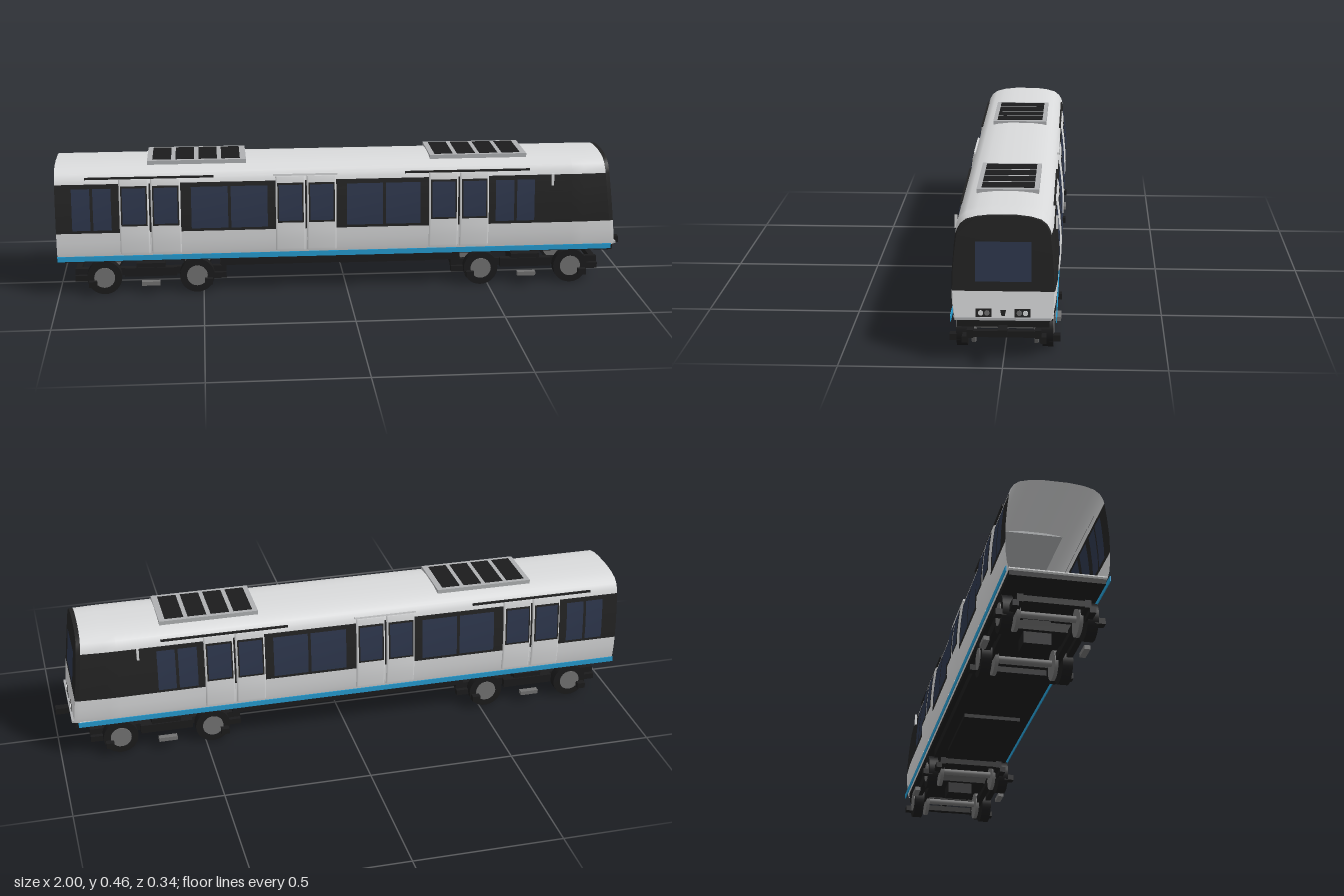
import * as THREE from 'three';

const mat = (name, color, side = THREE.DoubleSide) => {
  const m = new THREE.MeshStandardMaterial({ color, side });
  m.name = name;
  return m;
};

export function createModel() {
  const root = new THREE.Group();
  root.name = 'metroCar';
  const white = mat('body white', 0xd9dadb);
  const black = mat('band black', 0x232323);
  const glass = mat('window glass', 0x2d364c);
  const blue = mat('stripe blue', 0x259bd0);
  const grey = mat('roof unit grey', 0xaeb0b2);
  const steel = mat('steel', 0x727272);
  const dark = mat('underframe dark', 0x1b1b1c);

  const add = (name, geo, material, parent = root, x = 0, y = 0, z = 0) => {
    const m = new THREE.Mesh(geo, material);
    m.name = name;
    m.position.set(x, y, z);
    parent.add(m);
    return m;
  };
  // Box given by its limits
  const box = (name, x0, x1, y0, y1, z0, z1, material, parent = root) =>
    add(name, new THREE.BoxGeometry(x1 - x0, y1 - y0, z1 - z0), material, parent,
      (x0 + x1) / 2, (y0 + y1) / 2, (z0 + z1) / 2);
  const rod = (name, r, len, x, y, z, material, parent = root, sides = 24) =>
    add(name, new THREE.CylinderGeometry(r, r, len, sides).rotateX(Math.PI / 2), material, parent, x, y, z);

  // Half cross-section of the body as [z, y]
  const lower = [[0.153, 0.135], [0.158, 0.155], [0.162, 0.19], [0.163, 0.225]];
  const middle = [[0.163, 0.225], [0.162, 0.28], [0.157, 0.34], [0.15, 0.395]];
  const upper = [[0.15, 0.395], [0.146, 0.41], [0.136, 0.427], [0.118, 0.441], [0.085, 0.45], [0.04, 0.455]];
  const side = [...lower, ...middle.slice(1), ...upper.slice(1)];
  const mirror = (pts) => pts.map(([z, y]) => [-z, y]).reverse();
  const arch = (pts) => [...pts, ...mirror(pts)];
  const noseX = (y) => 0.949 - 0.1 * (y - 0.14);
  const halfWidth = (y) => {
    const i = Math.max(1, side.findIndex((p) => p[1] >= y));
    const [a, b] = [side[i - 1], side[i]];
    return a[0] + (b[0] - a[0]) * (y - a[1]) / (b[1] - a[1]);
  };

  // Skin over stations: x(y), z scale s and outward offset o
  const loft = (name, pts, stations, material, parent = root) => {
    const pos = [], idx = [], n = pts.length;
    for (const { x, s = 1, o = 0 } of stations)
      for (const [z, y] of pts)
        pos.push(typeof x === 'function' ? x(y) : x, y, z * s + Math.sign(z) * o);
    for (let i = 0; i < stations.length - 1; i++)
      for (let j = 0; j < n - 1; j++) {
        const a = i * n + j, b = a + n;
        idx.push(a, b, b + 1, a, b + 1, a + 1);
      }
    const g = new THREE.BufferGeometry();
    g.setAttribute('position', new THREE.Float32BufferAttribute(pos, 3));
    g.setIndex(idx);
    g.computeVertexNormals();
    return add(name, g, material, parent);
  };

  // Body shell, open at the rear, slightly tapered towards the cab
  const body = [{ x: -1 }, { x: 0.79 }, { x: 0.83, s: 0.997 }, { x: (y) => noseX(y) - 0.014, s: 0.965 }];
  const rim = [{ x: (y) => noseX(y) - 0.014, s: 0.965 }, { x: noseX, s: 0.945 }];
  for (const f of [(p) => p, mirror]) {
    loft('lowerSide', f(lower), [...body, rim[1]], white);
    loft('windowBand', f(middle), body, black);
  }
  loft('roof', arch(upper), body, white);
  loft('cabRim', arch([...middle, ...upper.slice(1)]), rim, black);

  // Raked cab front
  const face = (name, pts, off, material) => {
    const g = new THREE.ShapeGeometry(new THREE.Shape(pts.map(([z, y]) => new THREE.Vector2(z, y))), 16);
    g.rotateY(Math.PI / 2);
    const p = g.attributes.position;
    for (let i = 0; i < p.count; i++) p.setX(i, noseX(p.getY(i)) + off);
    g.computeVertexNormals();
    return add(name, g, material);
  };
  const rect = (z0, z1, y0, y1) => [[z0, y0], [z1, y0], [z1, y1], [z0, y1]];
  const narrow = (pts) => pts.map(([z, y]) => [z * 0.945, y]);
  face('cabMask', narrow(arch([...middle, ...upper.slice(1)])), 0, black);
  face('cabApron', narrow(arch(lower)), 0, white);
  face('windscreen', rect(-0.085, 0.085, 0.255, 0.377), 0.003, glass);
  face('noseLatch', [[-0.005, 0.15], [0.005, 0.15], [0.009, 0.168], [-0.009, 0.168]], 0.003, black);
  for (const s of [-1, 1]) {
    const [a, b] = s > 0 ? [0.035, 0.083] : [-0.083, -0.035];
    face('lampPanel', rect(a, b, 0.146, 0.172), 0.003, black);
    for (const [z, m] of [[0.068, white], [0.049, steel]])
      rod('headlamp', 0.008, 0.004, noseX(0.159) + 0.004, 0.159, s * z, m, root, 16).rotation.y = Math.PI / 2;
  }
  box('noseLip', 0.925, 0.956, 0.137, 0.145, -0.146, 0.146, grey);
  box('frontBeam', 0.88, 0.945, 0.113, 0.135, -0.14, 0.14, dark);
  box('couplerShaft', 0.92, 0.97, 0.103, 0.115, -0.008, 0.008, dark);
  box('couplerHead', 0.95, 1.0, 0.099, 0.121, -0.014, 0.014, dark);

  // Curved panels that follow the side of the body, on both sides
  const panel = (name, x0, x1, y0, y1, o, material, bevel = 0) => {
    const ys = [y0, ...side.map((p) => p[1]).filter((y, i, all) => y > y0 + 0.001 && y < y1 - 0.001 && all.indexOf(y) === i), y1];
    const pts = ys.map((y) => [halfWidth(y), y]);
    const st = bevel
      ? [{ x: x0, o: 0 }, { x: x0 + bevel, o }, { x: x1 - bevel, o }, { x: x1, o: 0 }]
      : [{ x: x0, o }, { x: x1, o }];
    for (const f of [(p) => p, mirror]) loft(name, f(pts), st, material);
  };

  // Side windows, glazed inside and out
  const windows = [[-0.944, -0.882], [-0.872, -0.81], [-0.537, -0.411], [-0.401, -0.275],
    [0, 0.125], [0.135, 0.256], [0.52, 0.585], [0.595, 0.657]];
  for (const [a, b] of windows)
    for (const o of [0.0025, -0.0025]) panel('sideWindow', a, b, 0.235, 0.38, o, glass);

  // Double-leaf doors with rails above
  for (const c of [-0.678, -0.142, 0.391]) {
    for (const s of [-1, 1]) {
      const m = c + s * 0.054;
      panel('doorLeaf', m - 0.051, m + 0.051, 0.147, 0.409, 0.006, white, 0.006);
      panel('doorWindowFrame', m - 0.045, m + 0.045, 0.249, 0.388, 0.0075, black);
      for (const o of [0.009, -0.0025]) panel('doorWindow', m - 0.04, m + 0.04, 0.256, 0.381, o, glass);
    }
    const half = c === -0.142 ? 0.11 : 0.219;
    const r = c + (c > 0 ? 0.03 : 0);
    for (const s of [-1, 1]) {
      const z = s * 0.148;
      box('doorRail', r - half, r + half, 0.411, 0.418, z - 0.003, z + 0.003, c === -0.142 ? white : black);
    }
  }

  for (const s of [-1, 1]) {
    box('sideStripe', -1, 0.935, 0.124, 0.142, s * 0.161 - 0.0015, s * 0.161 + 0.0015, blue);
    box('cabHandle', 0.716, 0.724, 0.358, 0.4, s * 0.158 - 0.004, s * 0.158 + 0.004, white);
  }

  // Roof ventilation units
  for (const c of [-0.515, 0.465]) {
    const unit = new THREE.Group();
    unit.name = 'roofUnit';
    root.add(unit);
    box('unitHousing', c - 0.17, c + 0.17, 0.447, 0.461, -0.099, 0.099, grey, unit);
    for (let i = 0; i < 4; i++) {
      const x = c - 0.12 + i * 0.079;
      box('ventGrille', x - 0.032, x + 0.032, 0.459, 0.4625, -0.084, 0.084, dark, unit);
    }
  }

  // Floor and underframe
  box('floor', -1, 0.93, 0.135, 0.139, -0.152, 0.152, white);
  box('underframe', -0.99, 0.9, 0.118, 0.134, -0.15, 0.15, dark);
  box('equipmentBay', -0.44, 0.4, 0.09, 0.119, -0.135, 0.135, dark);
  box('equipmentBox', -0.02, 0.3, 0.077, 0.092, -0.1, 0.1, dark);

  // Bogies with rubber tyres and steel inner wheels
  for (const c of [-0.682, 0.634]) {
    const bogie = new THREE.Group();
    bogie.name = 'bogie';
    bogie.position.x = c;
    root.add(bogie);
    box('pivot', -0.035, 0.035, 0.035, 0.12, -0.045, 0.045, dark, bogie);
    box('crossBeam', -0.05, 0.05, 0.075, 0.105, -0.14, 0.14, dark, bogie);
    for (const s of [-1, 1]) {
      const z = s * 0.105;
      box('sideFrame', -0.262, 0.262, 0.057, 0.083, z - 0.01, z + 0.01, dark, bogie);
      box('outerBar', -0.09, 0.09, 0.06, 0.09, s * 0.135 - 0.01, s * 0.135 + 0.01, dark, bogie);
      box('shoe', -0.032, 0.032, 0.034, 0.048, s * 0.162 - 0.01, s * 0.162 + 0.01, steel, bogie);
      for (const e of [-1, 1]) {
        box('guideArm', e * 0.23 - 0.032, e * 0.23 + 0.032, 0.042, 0.062, s * 0.12 - 0.01, s * 0.12 + 0.01, dark, bogie);
        box('guidePeg', e * 0.2 - 0.014, e * 0.2 + 0.014, 0.032, 0.052, s * 0.155 - 0.017, s * 0.155 + 0.017, dark, bogie);
        rod('tyre', 0.06, 0.034, e * 0.16, 0.06, s * 0.133, dark, bogie, 32);
        rod('hub', 0.036, 0.004, e * 0.16, 0.06, s * 0.1505, steel, bogie);
        rod('steelWheel', 0.05, 0.012, e * 0.16, 0.06, s * 0.098, steel, bogie, 32);
      }
    }
    for (const e of [-1, 1]) {
      rod('axle', 0.011, 0.23, e * 0.16, 0.066, 0, steel, bogie, 16);
      box('endBeam', e * 0.25 - 0.01, e * 0.25 + 0.01, 0.06, 0.08, -0.1, 0.1, dark, bogie);
    }
  }
  return root;
}
